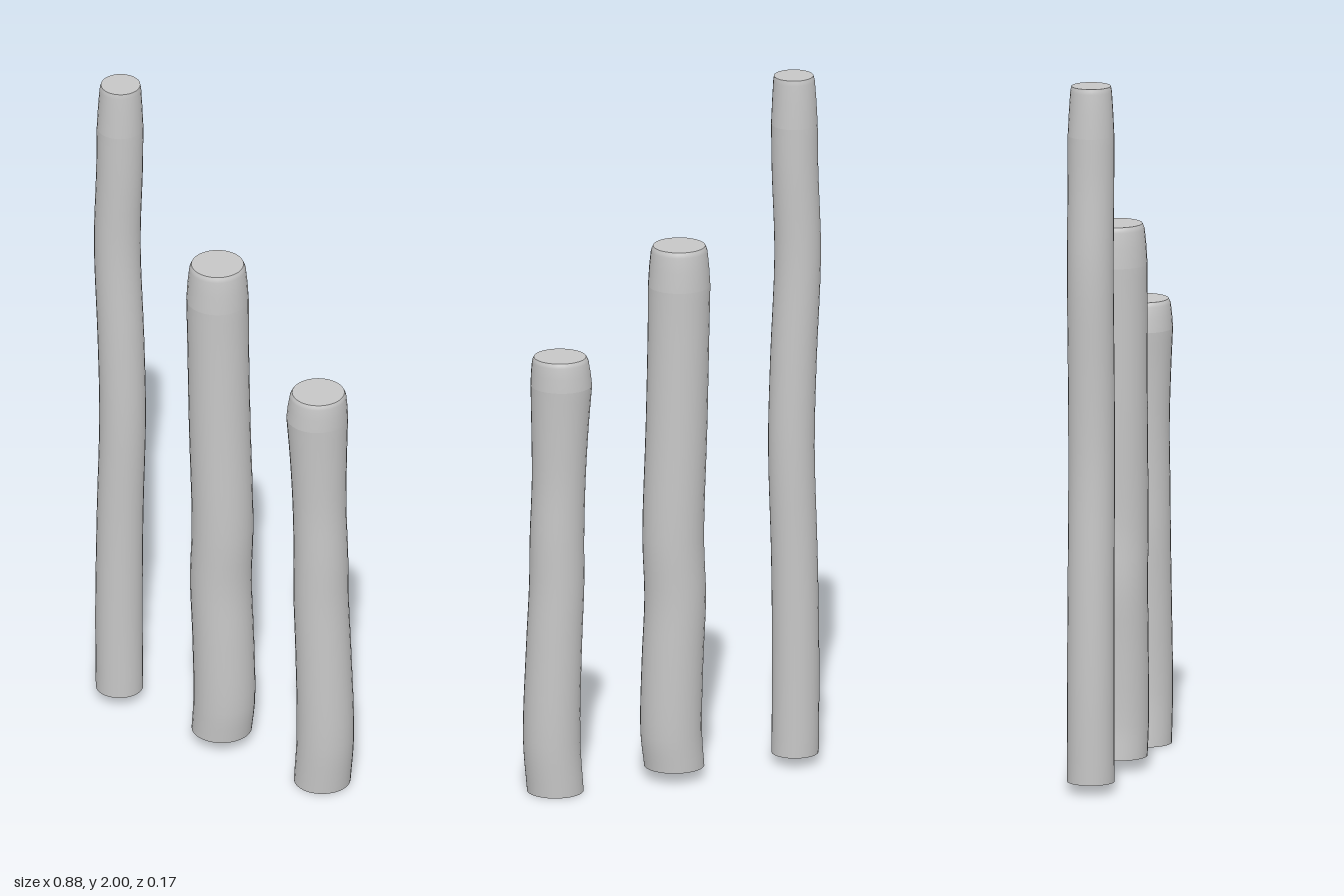
import * as THREE from 'three';
import { mergeVertices } from 'three/addons/utils/BufferGeometryUtils.js';

const SIDES = 28;

// Each section is [centre x, height y, radius], from the foot up; the last three form the tapered tip.
const POSTS = {
  tallPost: [
    [-0.37, 0.028, 0.066], [-0.372, 0.28, 0.066], [-0.368, 0.6, 0.065], [-0.359, 0.92, 0.065],
    [-0.365, 1.17, 0.065], [-0.378, 1.48, 0.065], [-0.37, 1.72, 0.065], [-0.368, 1.86, 0.065],
    [-0.367, 1.985, 0.058], [-0.366, 2, 0.055],
  ],
  middlePost: [
    [-0.007, 0.032, 0.084], [0.002, 0.13, 0.086], [-0.002, 0.34, 0.086], [-0.01, 0.52, 0.086],
    [-0.004, 0.7, 0.086], [-0.014, 1.02, 0.086], [-0.02, 1.3, 0.086], [-0.022, 1.43, 0.087],
    [-0.022, 1.53, 0.079], [-0.022, 1.545, 0.073],
  ],
  shortPost: [
    [0.35, 0, 0.079], [0.361, 0.15, 0.08], [0.354, 0.42, 0.078], [0.346, 0.6, 0.077],
    [0.345, 0.74, 0.076], [0.34, 0.9, 0.075], [0.336, 1.06, 0.08], [0.332, 1.18, 0.086],
    [0.335, 1.25, 0.079], [0.336, 1.263, 0.073],
  ],
};

// Wavy side wall: an open cylinder whose rings follow the sections
function wall(name, sections, rings, material) {
  const curve = new THREE.CatmullRomCurve3(sections.map((s) => new THREE.Vector3(...s)));
  let geo = new THREE.CylinderGeometry(1, 1, 1, SIDES, rings, true);
  const pos = geo.attributes.position;
  for (let i = 0; i < pos.count; i++) {
    const p = curve.getPoint(THREE.MathUtils.clamp(pos.getY(i) + 0.5, 0, 1));
    pos.setXYZ(i, p.x + pos.getX(i) * p.z, p.y, pos.getZ(i) * p.z);
  }
  geo.deleteAttribute('uv');
  geo.deleteAttribute('normal');
  geo = mergeVertices(geo, 1e-5);
  geo.computeVertexNormals();
  const mesh = new THREE.Mesh(geo, material);
  mesh.name = name;
  return mesh;
}

// Flat round top
function topEnd([x, y, r], material) {
  const cap = new THREE.Mesh(new THREE.CircleGeometry(r, SIDES).rotateZ(Math.PI / 2), material);
  cap.rotation.x = -Math.PI / 2;
  cap.position.set(x, y, 0);
  cap.name = 'topEnd';
  return cap;
}

export function createModel() {
  // Double-sided because the posts are hollow and open at the foot
  const grey = new THREE.MeshStandardMaterial({ color: 0xc6c6c6, side: THREE.DoubleSide });
  grey.name = 'lightGrey';
  const model = new THREE.Group();
  model.name = 'posts';

  for (const [name, sections] of Object.entries(POSTS)) {
    const post = new THREE.Group();
    post.name = name;
    post.add(
      wall('shaft', sections.slice(0, -2), 28, grey),
      wall('tip', sections.slice(-3), 4, grey),
      topEnd(sections.at(-1), grey),
    );
    model.add(post);
  }
  return model;
}
